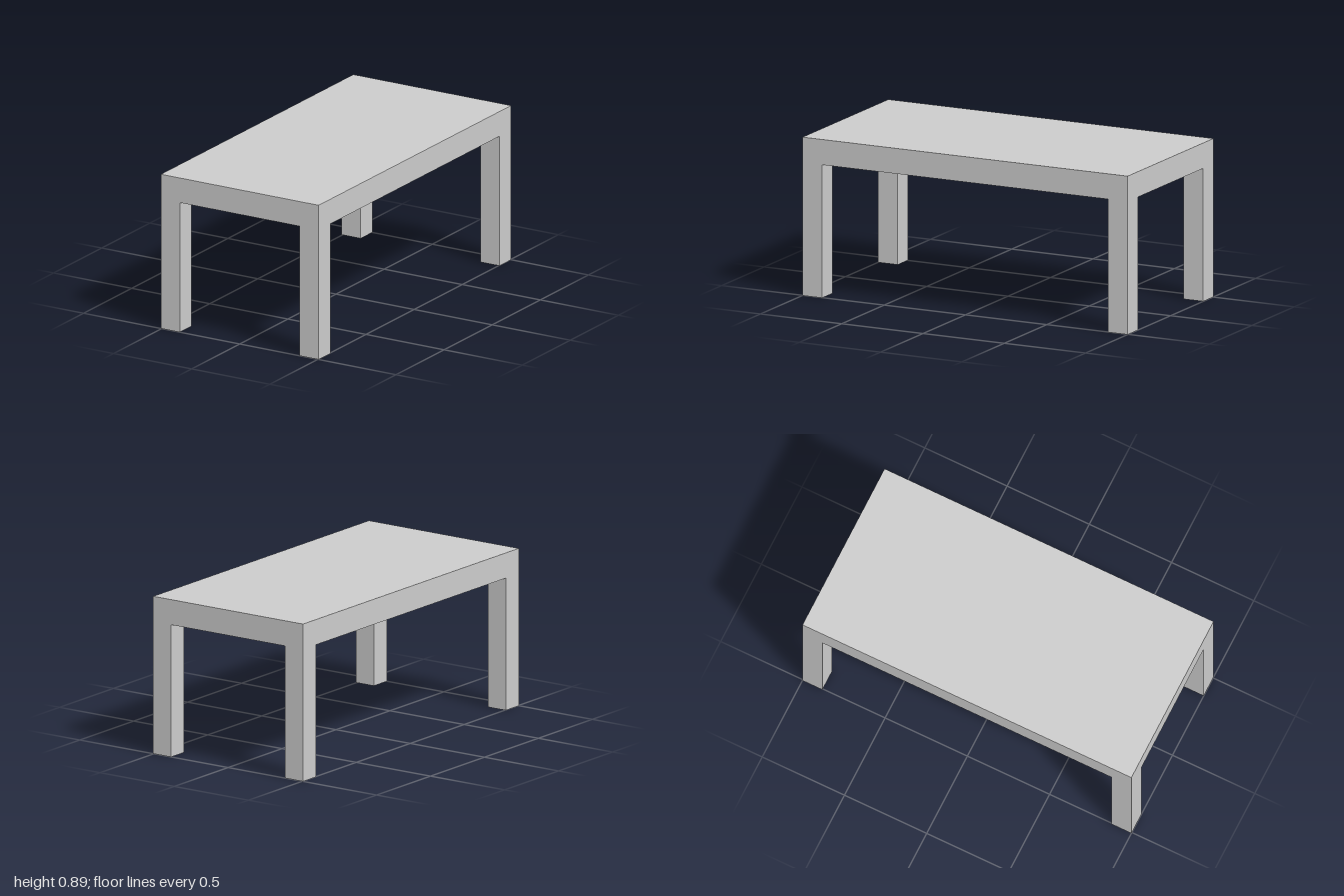
import * as THREE from 'three';

const WIDTH = 1.01, LENGTH = 2, HEIGHT = 0.887;
const UNDERSIDE = 0.745, LEG = 0.121;

export function createModel() {
  const table = new THREE.Group();
  table.name = 'table';
  const material = new THREE.MeshStandardMaterial({ color: 0xcccccc, flatShading: true });

  // Box standing on height y
  const addBox = (name, w, h, d, x, y, z) => {
    const mesh = new THREE.Mesh(new THREE.BoxGeometry(w, h, d), material);
    mesh.name = name;
    mesh.position.set(x, y + h / 2, z);
    table.add(mesh);
  };

  // Thick solid top
  addBox('tableTop', WIDTH, HEIGHT - UNDERSIDE, LENGTH, 0, UNDERSIDE, 0);

  // Four square legs, flush with the corners of the top
  for (const [side, sx] of [['Left', 1], ['Right', -1]]) {
    for (const [end, sz] of [['front', 1], ['back', -1]]) {
      addBox(`${end}${side}Leg`, LEG, UNDERSIDE, LEG,
        sx * (WIDTH - LEG) / 2, 0, sz * (LENGTH - LEG) / 2);
    }
  }
  return table;
}
